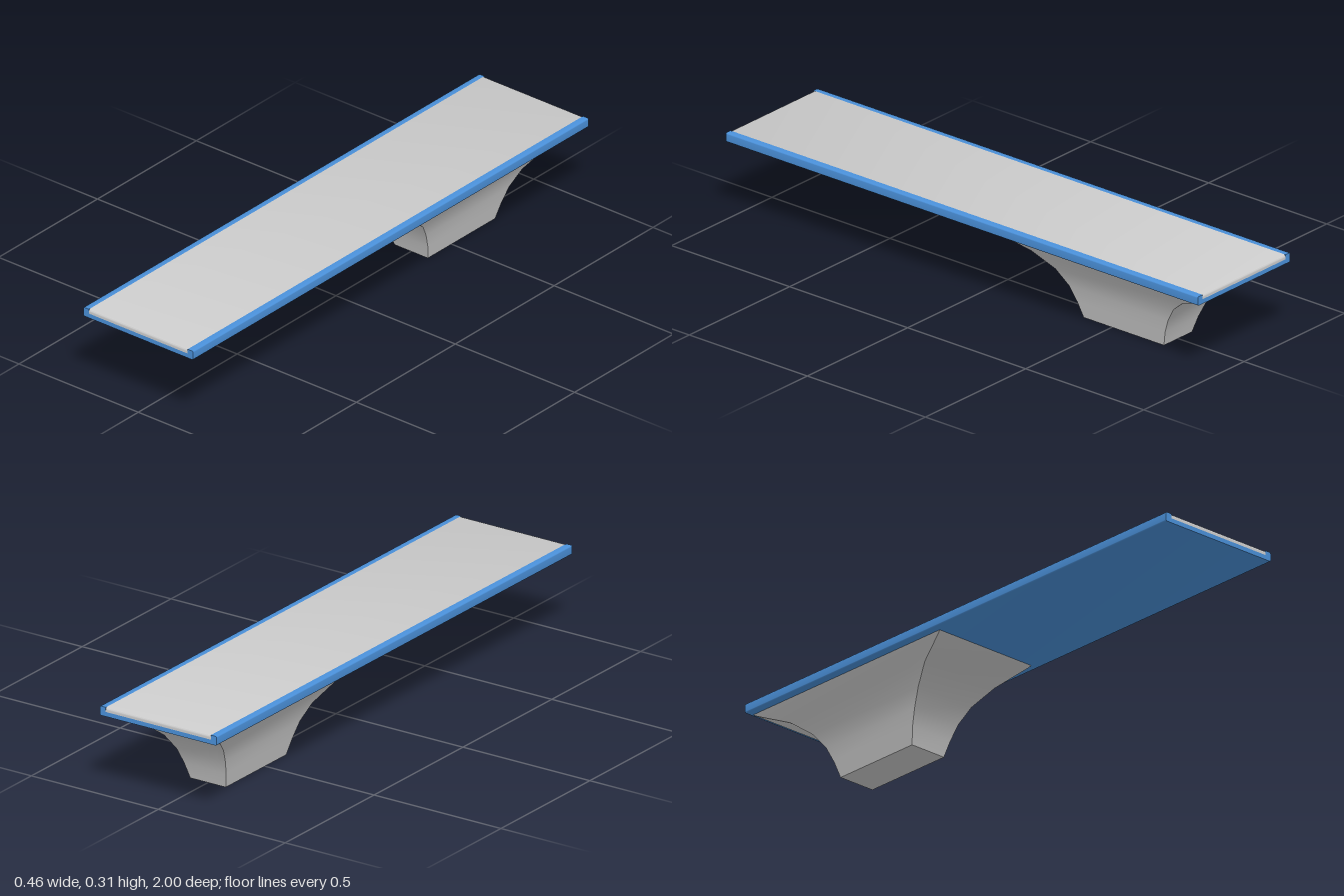
import * as THREE from 'three';
import { toCreasedNormals } from 'three/addons/utils/BufferGeometryUtils.js';

const grey = new THREE.MeshStandardMaterial({ color: 0xcccccc });
const blue = new THREE.MeshStandardMaterial({ color: 0x4a90d9 });

const HALF_W = 0.23, TOP = 0.307, UNDER = 0.275, PANEL_W = 0.207, PANEL_Y = 0.291;

function extrude(shape, depth) {
  const g = new THREE.ExtrudeGeometry(shape, { depth, bevelEnabled: false, curveSegments: 4 });
  g.translate(0, 0, -depth / 2);
  return g;
}

function addMesh(group, name, geometry, material) {
  const mesh = new THREE.Mesh(geometry, material);
  mesh.name = name;
  group.add(mesh);
}

// Blue tray: rounded outer corners and a shallow channel along the top
function trayGeometry() {
  const r = 0.005, w = HALF_W, s = new THREE.Shape();
  s.moveTo(-w + r, UNDER);
  s.lineTo(w - r, UNDER);
  s.quadraticCurveTo(w, UNDER, w, UNDER + r);
  s.lineTo(w, TOP - r);
  s.quadraticCurveTo(w, TOP, w - r, TOP);
  s.lineTo(PANEL_W, TOP);
  s.lineTo(PANEL_W, PANEL_Y);
  s.lineTo(-PANEL_W, PANEL_Y);
  s.lineTo(-PANEL_W, TOP);
  s.lineTo(-w + r, TOP);
  s.quadraticCurveTo(-w, TOP, -w, TOP - r);
  s.lineTo(-w, UNDER + r);
  s.quadraticCurveTo(-w, UNDER, -w + r, UNDER);
  return toCreasedNormals(extrude(s, 2), 0.7);
}

// Grey walking surface: long side profile with softened ends, run across x
function panelGeometry() {
  const r = 0.01, s = new THREE.Shape();
  s.moveTo(-1, PANEL_Y);
  s.lineTo(1, PANEL_Y);
  s.lineTo(1, TOP - r);
  s.quadraticCurveTo(1, TOP, 1 - r, TOP);
  s.lineTo(-1 + r, TOP);
  s.quadraticCurveTo(-1, TOP, -1, TOP - r);
  s.closePath();
  const g = extrude(s, PANEL_W * 2);
  g.rotateY(Math.PI / 2);
  return toCreasedNormals(g, 0.7);
}

// Flared pedestal: rectangular rings [y, half width, half length]
function pedestalGeometry() {
  const rings = [
    [0, 0.07, 0.17], [0.055, 0.083, 0.186], [0.11, 0.096, 0.21], [0.165, 0.117, 0.25],
    [0.22, 0.153, 0.32], [0.269, 0.198, 0.435], [0.277, 0.202, 0.445],
  ];
  const signs = [[-1, 1], [1, 1], [1, -1], [-1, -1]];
  const corner = ([y, w, l], i) => [signs[i % 4][0] * w, y, signs[i % 4][1] * l];
  const pos = [];
  const quad = (a, b, c, d) => pos.push(...a, ...b, ...c, ...a, ...c, ...d);
  for (let k = 0; k < rings.length - 1; k++) {
    for (let i = 0; i < 4; i++) {
      quad(corner(rings[k], i), corner(rings[k], i + 1), corner(rings[k + 1], i + 1), corner(rings[k + 1], i));
    }
  }
  // Foot and top caps
  const foot = rings[0], top = rings[rings.length - 1];
  quad(corner(foot, 3), corner(foot, 2), corner(foot, 1), corner(foot, 0));
  quad(corner(top, 0), corner(top, 1), corner(top, 2), corner(top, 3));
  const g = new THREE.BufferGeometry();
  g.setAttribute('position', new THREE.Float32BufferAttribute(pos, 3));
  g.translate(0, 0, -0.55);
  return toCreasedNormals(g, 0.6);
}

export function createModel() {
  const model = new THREE.Group();
  model.name = 'raisedPlatform';
  addMesh(model, 'boardTray', trayGeometry(), blue);
  addMesh(model, 'topPanel', panelGeometry(), grey);
  addMesh(model, 'pedestal', pedestalGeometry(), grey);
  return model;
}
